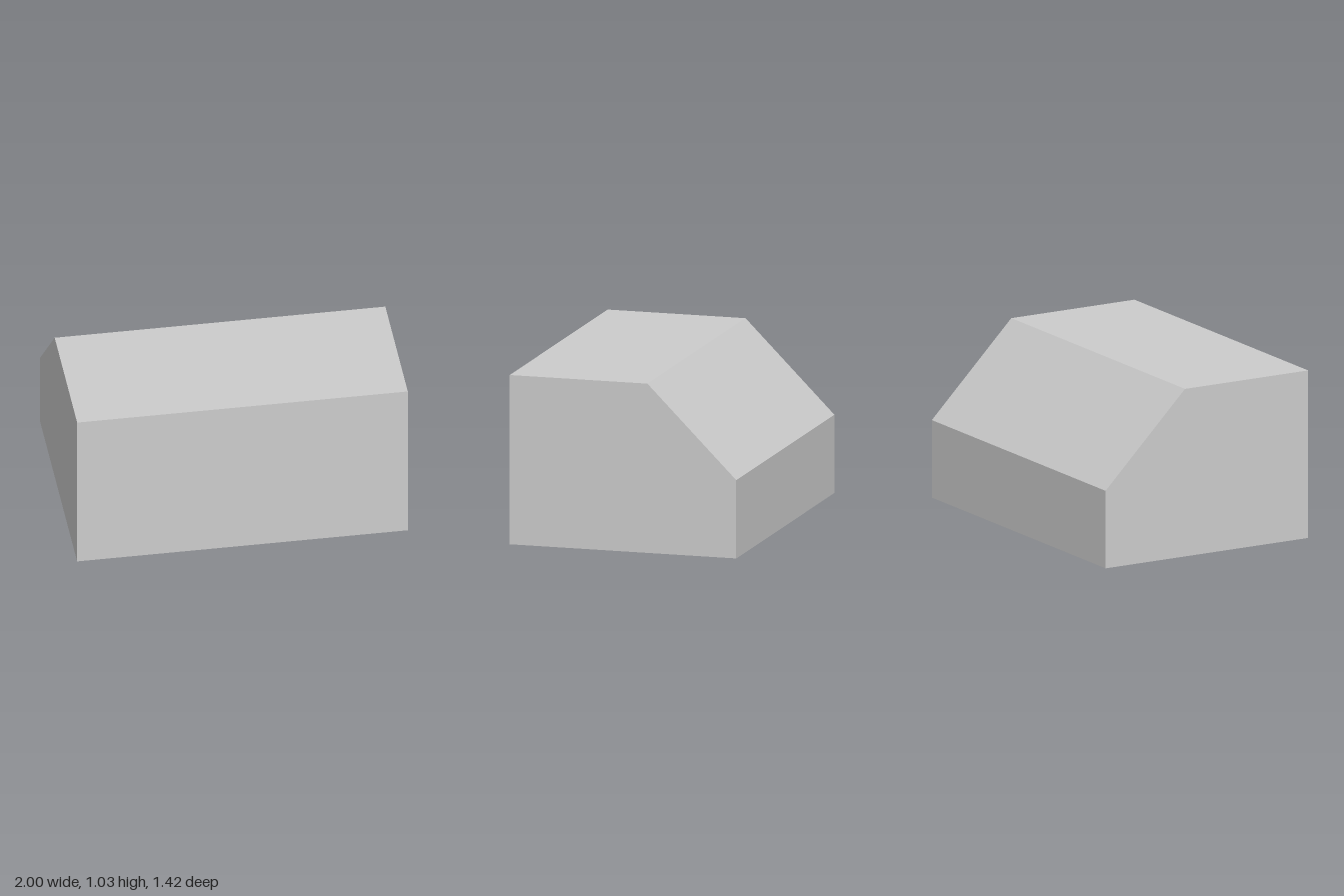
import * as THREE from 'three';

export function createModel() {
  const group = new THREE.Group();
  group.name = 'chamferedBlock';

  const width = 2, height = 1.033, halfDepth = 0.708, chamfer = 0.555;

  // Side profile (z, y): a rectangle with its upper back corner cut at 45 degrees
  const profile = new THREE.Shape([
    new THREE.Vector2(-halfDepth, 0),
    new THREE.Vector2(halfDepth, 0),
    new THREE.Vector2(halfDepth, height),
    new THREE.Vector2(-halfDepth + chamfer, height),
    new THREE.Vector2(-halfDepth, height - chamfer),
  ]);

  // Sweep the profile across the full width
  const geometry = new THREE.ExtrudeGeometry(profile, { depth: width, bevelEnabled: false });
  geometry.rotateY(-Math.PI / 2).translate(width / 2, 0, 0);

  const body = new THREE.Mesh(
    geometry,
    new THREE.MeshStandardMaterial({ color: 0xcccccc, flatShading: true })
  );
  body.name = 'body';
  group.add(body);
  return group;
}
